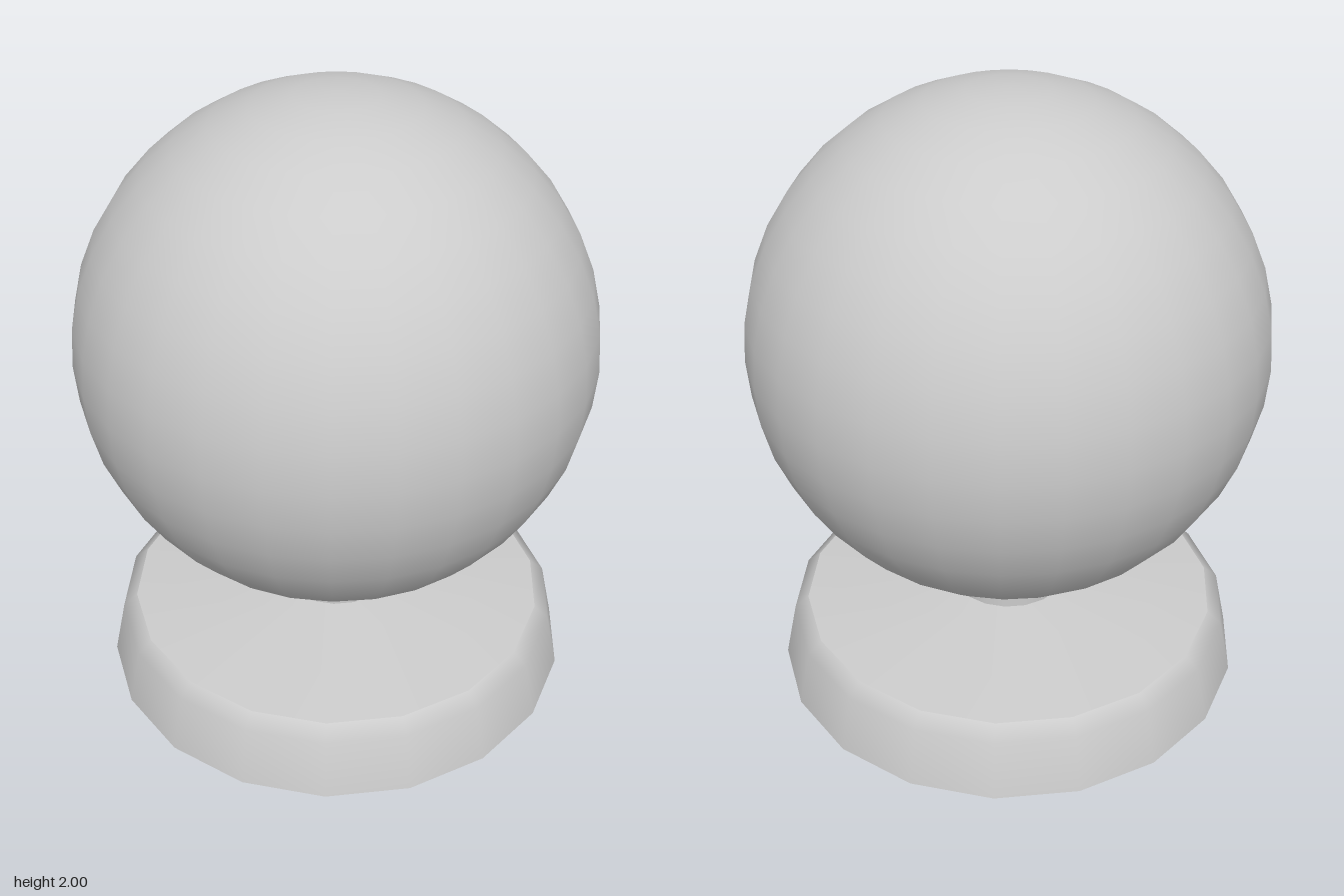
import * as THREE from 'three';

const SIDES = 18;
const material = new THREE.MeshStandardMaterial({ color: 0xcccccc });
const shellMaterial = new THREE.MeshStandardMaterial({ color: 0xcccccc, side: THREE.DoubleSide });

// Open thin surface of revolution, with a corner on each side of the x axis
function turned(name, profile) {
  const points = profile.map(([r, y]) => new THREE.Vector2(r, y));
  const mesh = new THREE.Mesh(new THREE.LatheGeometry(points, SIDES, Math.PI / 2), shellMaterial);
  mesh.name = name;
  return mesh;
}

export function createModel() {
  const model = new THREE.Group();
  model.name = 'globeOnStand';

  // Hollow stand, open underneath: sloped wall, bevel, shallow conical top
  const stand = new THREE.Group();
  stand.name = 'stand';
  stand.add(
    turned('standWall', [[0.768, 0], [0.728, 0.19], [0.682, 0.23]]),
    turned('standTop', [[0.682, 0.23], [0.193, 0.28]]),
    turned('neck', [[0.193, 0.28], [0.193, 0.42]])
  );
  model.add(stand);

  // Ball resting on the neck
  const ball = new THREE.Mesh(new THREE.SphereGeometry(0.806, 28, 20), material);
  ball.name = 'ball';
  ball.position.y = 1.194;
  model.add(ball);

  return model;
}
